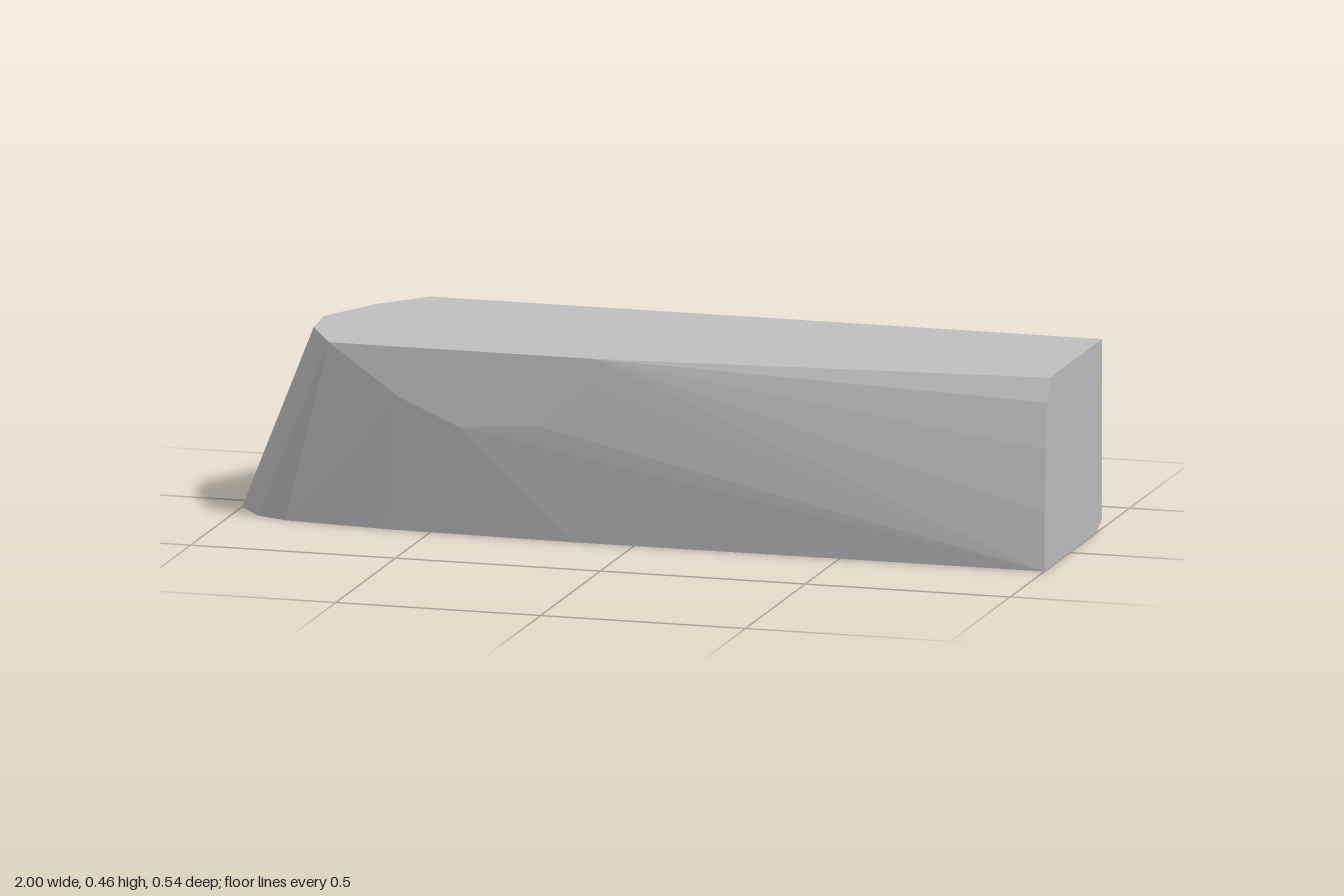
import * as THREE from 'three';
import { ConvexGeometry } from 'three/addons/geometries/ConvexGeometry.js';

export function createModel() {
  const group = new THREE.Group();
  group.name = 'chamferedBlock';
  const grey = new THREE.MeshStandardMaterial({ color: 0xbebebe });
  grey.name = 'stone grey';
  grey.flatShading = true;

  const TOP = 0.455, SIDE = 0.27;
  const points = [];
  const outline = (pairs, place) => pairs.forEach(([a, b]) => points.push(place(a, b)));

  // flat top with a blunt nose, as x, z
  outline([[-0.64, -SIDE], [1, -SIDE], [1, 0.165], [-0.08, SIDE], [-0.73, SIDE],
    [-0.81, 0.12], [-0.82, 0], [-0.74, -0.155]], (x, z) => new THREE.Vector3(x, TOP, z));

  // flat underside running to the pointed tip, as x, z
  outline([[1, 0.213], [-0.15, 0.219], [-0.6, 0.206], [-0.862, 0.18], [-0.938, 0.148],
    [-1, 0.07], [-0.876, -0.015], [0.35, -0.165], [1, -0.215]],
  (x, z) => new THREE.Vector3(x, 0, z));

  // square end with a rounded front edge, as y, z
  outline([[0.4, 0.187], [0.29, 0.202], [0.14, 0.211], [0.022, -SIDE]],
    (y, z) => new THREE.Vector3(1, y, z));

  // lower edge of the front flat, as x, y
  outline([[-0.56, 0.335], [-0.41, 0.27], [-0.22, 0.285], [-0.1, 0.4]],
    (x, y) => new THREE.Vector3(x, y, SIDE));

  // lower edge of the back flat, as x, y
  outline([[0.4, 0.024], [0.185, 0.07], [-0.026, 0.133], [-0.314, 0.25]],
    (x, y) => new THREE.Vector3(x, y, -SIDE));

  const block = new THREE.Mesh(new ConvexGeometry(points), grey);
  block.name = 'block';
  group.add(block);
  return group;
}
